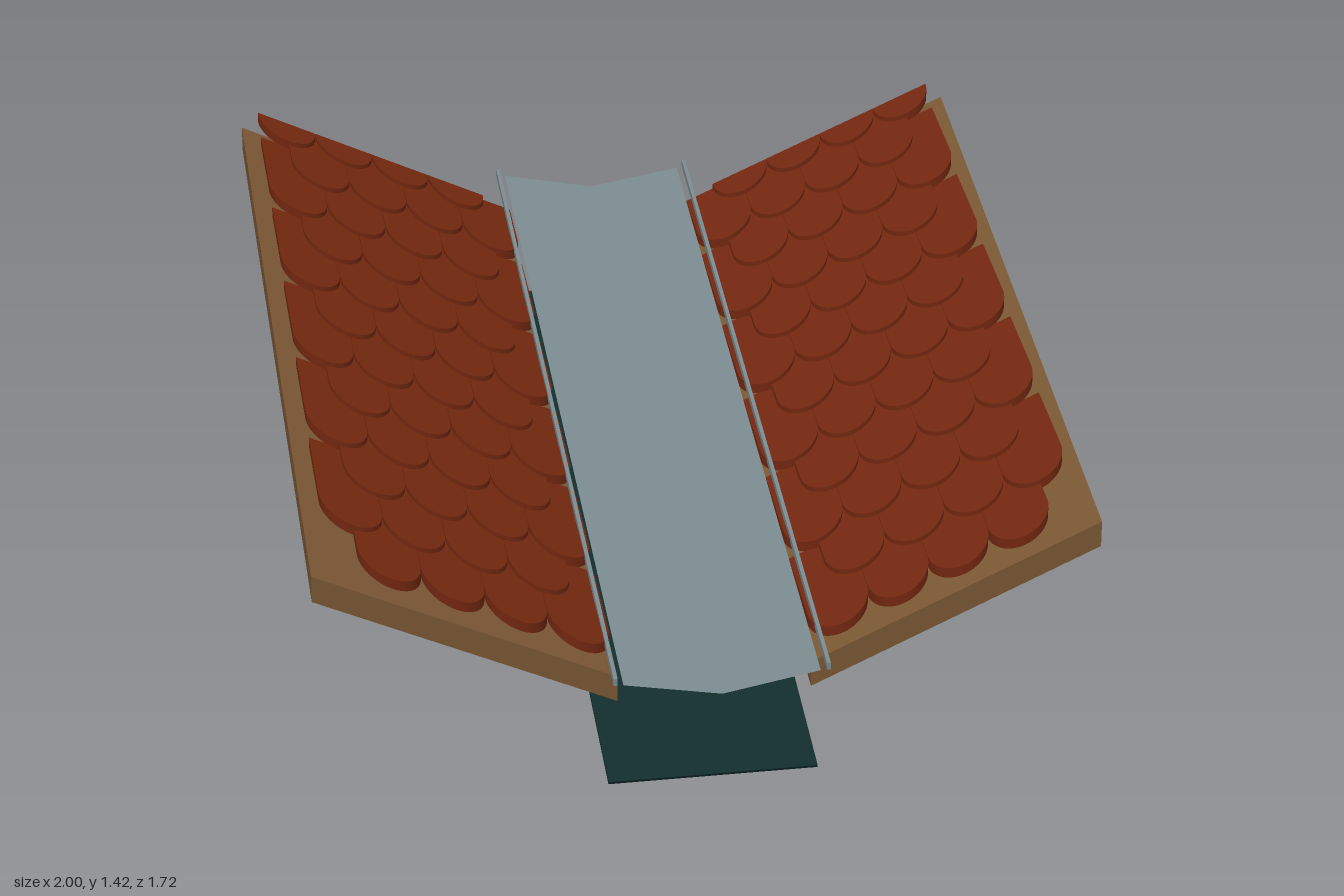
import * as THREE from 'three';
import { toCreasedNormals } from 'three/addons/utils/BufferGeometryUtils.js';

const paint = (name, color, side = THREE.FrontSide) => {
  const m = new THREE.MeshStandardMaterial({ color, side });
  m.name = name;
  return m;
};

// Height of the sloping deck surface, rising outward and toward the back
const deckY = (x, z) => 0.61 + 0.424 * (Math.abs(x) - 1) + 0.512 * (0.77 - z);

// Move every vertex by a rule
function warp(geometry, rule) {
  const p = geometry.attributes.position;
  const v = new THREE.Vector3();
  for (let i = 0; i < p.count; i++) {
    rule(v.fromBufferAttribute(p, i));
    p.setXYZ(i, v.x, v.y, v.z);
  }
  return geometry;
}

function addMesh(parent, name, geometry, material) {
  const mesh = new THREE.Mesh(geometry, material);
  mesh.name = name;
  parent.add(mesh);
  return mesh;
}

// Round-ended tile, tip at v = 0, straight top at v = length
function tileGeometry(cx, tipZ, length) {
  const r = 0.0775;
  const shape = new THREE.Shape();
  shape.moveTo(r, length);
  shape.lineTo(-r, length);
  shape.lineTo(-r, r);
  shape.absarc(0, r, r, Math.PI, Math.PI * 2, false);
  shape.closePath();
  const g = new THREE.ExtrudeGeometry(shape, { depth: 0.025, bevelEnabled: false, curveSegments: 16 });
  warp(g, (v) => {
    const x = cx + v.x, z = tipZ - v.y;
    v.set(x, deckY(x, z) + 0.038 - 0.09 * v.y + v.z, z);
  });
  return toCreasedNormals(g, 0.6);
}

export function createModel() {
  const model = new THREE.Group();
  model.name = 'roofValley';
  const wood = paint('wood', 0x765432);
  const clay = paint('clay', 0x70260f);
  const metal = paint('metal', 0x76868a, THREE.DoubleSide);
  const membrane = paint('membrane', 0x112b2b);

  for (const s of [1, -1]) {
    const side = s > 0 ? 'left' : 'right';

    // Sheared timber deck
    const deck = new THREE.BoxGeometry(0.752, 0.065, 1.515).toNonIndexed();
    warp(deck, (v) => {
      v.x += s * 0.624;
      v.z += 0.0125;
      v.y += deckY(v.x, v.z) - 0.0325;
    });
    deck.computeVertexNormals();
    addMesh(model, side + 'Deck', deck, wood);

    // Staggered courses of overlapping tiles
    const tiles = new THREE.Group();
    tiles.name = side + 'Tiles';
    model.add(tiles);
    for (let row = 0; row < 12; row++) {
      const tip = 0.77 - row * 0.131;
      const length = Math.max(0.079, Math.min(0.27, tip + 0.748));
      for (let i = 0; i < 4; i++) {
        const cx = s * ((row % 2 ? 0.877 : 0.801) - i * 0.156);
        addMesh(tiles, 'tile', tileGeometry(cx, tip, length), clay);
      }
    }

    // Upstand rail along the valley edge
    const rail = new THREE.BoxGeometry(0.01, 0.018, 1.72).toNonIndexed();
    warp(rail, (v) => {
      v.x += s * 0.27;
      v.y += 0.312 + 0.516 * (0.86 - v.z);
    });
    rail.computeVertexNormals();
    addMesh(model, side + 'Rail', rail, metal);
  }

  // Shallow V-shaped metal trough, shaded as one smooth sheet
  const trough = new THREE.PlaneGeometry(0.5, 1.715, 2, 1).rotateX(-Math.PI / 2);
  warp(trough, (v) => { v.y = 0.26 + 0.17 * Math.abs(v.x) + 0.516 * (0.857 - v.z); });
  const n = new THREE.Vector3(0, 1, 0.516).normalize();
  const normals = trough.attributes.normal;
  for (let i = 0; i < normals.count; i++) normals.setXYZ(i, n.x, n.y, n.z);
  addMesh(model, 'valleyTrough', trough, metal);

  // Thin underlay sheet below the valley
  const sheet = addMesh(model, 'underlay', new THREE.BoxGeometry(0.54, 0.008, 1.74), membrane);
  sheet.rotation.x = Math.PI / 6;
  sheet.position.set(0, 0.4385, 0.01);

  return model;
}
